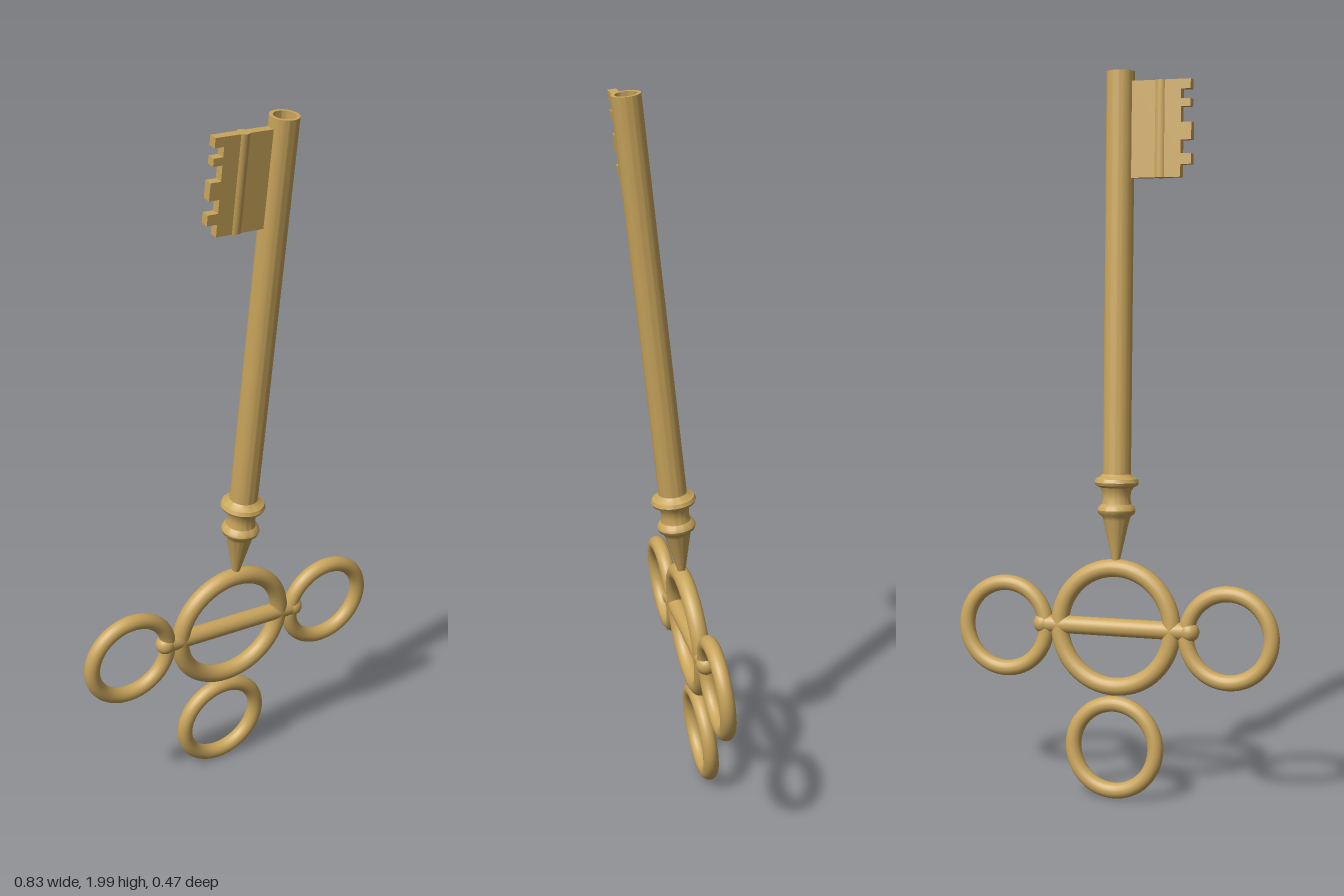
import * as THREE from 'three';
import { toCreasedNormals } from 'three/addons/utils/BufferGeometryUtils.js';

export function createModel() {
  const brass = new THREE.MeshStandardMaterial({ color: 0xc9a55c });
  brass.name = 'brass';

  const key = new THREE.Group();
  key.name = 'key';

  const add = (name, geometry, x = 0, y = 0, z = 0) => {
    const mesh = new THREE.Mesh(geometry, brass);
    mesh.name = name;
    mesh.position.set(x, y, z);
    key.add(mesh);
    return mesh;
  };
  const ring = (name, outer, tube, x, y) =>
    add(name, new THREE.TorusGeometry(outer - tube, tube, 20, 64), x, y);
  const lathe = (points) => toCreasedNormals(
    new THREE.LatheGeometry(points.map(([r, y]) => new THREE.Vector2(r, y)), 40), 0.6);

  // Bow: one large ring with three smaller rings around it
  ring('centreRing', 0.19, 0.025, 0, 0);
  ring('bottomRing', 0.143, 0.022, 0, -0.334);
  for (const [side, s] of [['left', 1], ['right', -1]]) {
    ring(side + 'Ring', 0.143, 0.022, s * 0.327, -0.012);
    add(side + 'BarKnob', new THREE.SphereGeometry(0.028, 24, 16), s * 0.215, 0);
  }

  // Crossbar through the large ring
  add('crossbar', new THREE.CylinderGeometry(0.025, 0.025, 0.42, 28)).rotation.z = Math.PI / 2;

  // Pointed collar with a bead and a flange
  add('collar', lathe([
    [0, 0.175], [0.009, 0.178], [0.036, 0.298], [0.04, 0.308],
    [0.05, 0.316], [0.053, 0.325], [0.05, 0.334], [0.041, 0.342],
    [0.038, 0.358], [0.04, 0.376], [0.046, 0.388],
    [0.058, 0.394], [0.062, 0.402], [0.058, 0.412], [0.046, 0.418], [0.039, 0.425],
  ]));

  // Hollow-ended shaft
  add('shaft', lathe([
    [0.039, 0.42], [0.039, 1.526], [0.029, 1.526], [0.029, 1.4], [0, 1.4],
  ]));

  // Toothed bit: each tooth is a [start, end, reach] fraction down the outer edge
  const top = 1.498, height = 0.263, body = -0.178;
  const teeth = [[0, 0.1, -0.205], [0.2, 0.28, -0.205], [0.44, 0.62, -0.208], [0.76, 0.87, -0.208]];
  const outline = new THREE.Shape();
  outline.moveTo(-0.032, top);
  for (const [start, end, reach] of teeth) {
    if (start > 0) outline.lineTo(body, top - start * height);
    outline.lineTo(reach, top - start * height);
    outline.lineTo(reach, top - end * height);
    outline.lineTo(body, top - end * height);
  }
  outline.lineTo(body, top - height);
  outline.lineTo(-0.032, top - height);
  outline.closePath();
  add('bit', new THREE.ExtrudeGeometry(outline, { depth: 0.024, bevelEnabled: false }), 0, 0, -0.012);

  // Round rib running down the bit
  add('bitRib', new THREE.CylinderGeometry(0.018, 0.018, height, 24), -0.118, top - height / 2);

  // Lean and turn the whole key
  const up = new THREE.Vector3(0.0805, 0.993, 0.0844).normalize();
  const across = new THREE.Vector3(0.88, -0.035, -0.474);
  across.addScaledVector(up, -across.dot(up)).normalize();
  const facing = new THREE.Vector3().crossVectors(across, up);
  key.quaternion.setFromRotationMatrix(new THREE.Matrix4().makeBasis(across, up, facing));
  key.position.set(-0.002, 0.478, 0.006);

  const model = new THREE.Group();
  model.add(key);
  return model;
}
